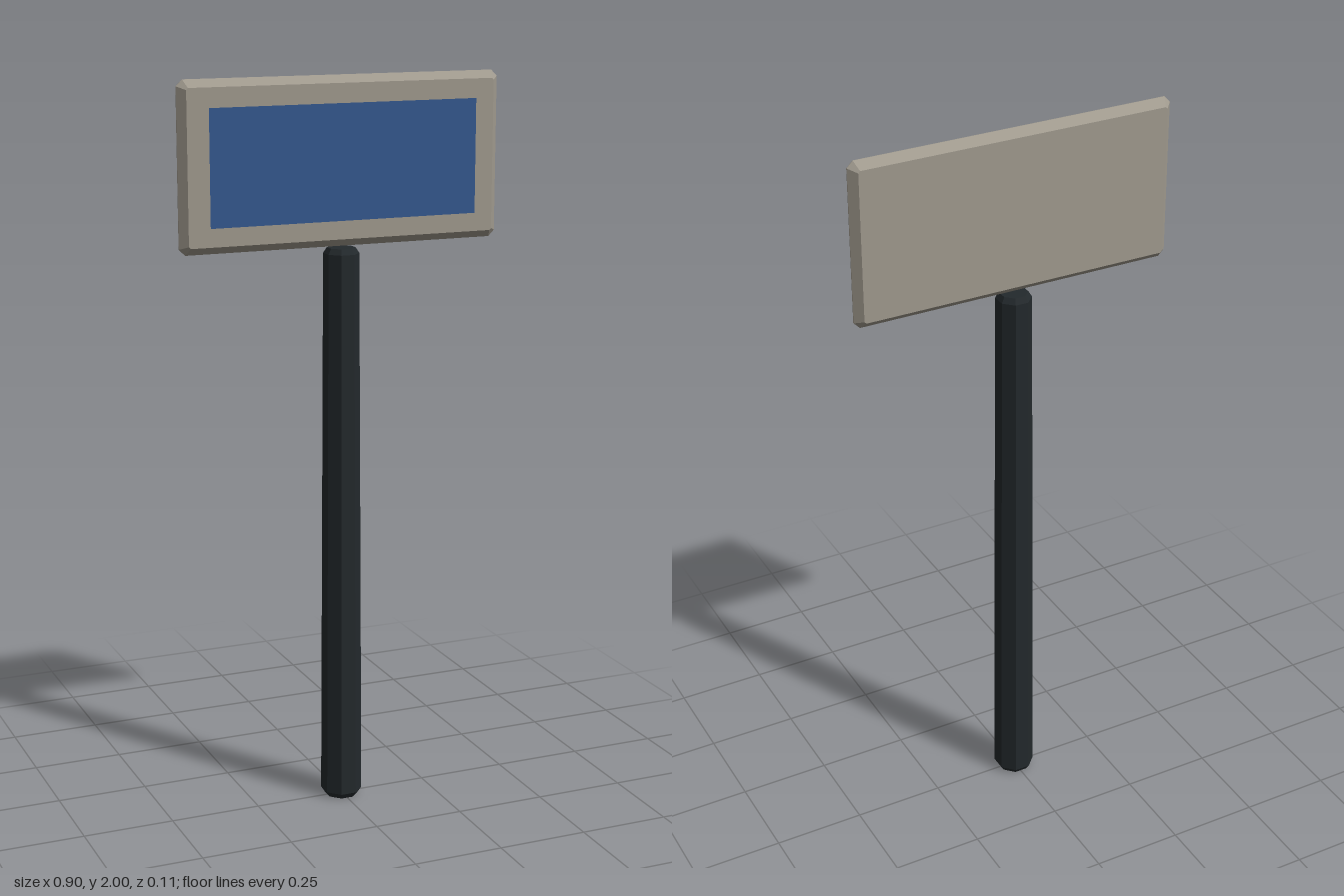
import * as THREE from 'three';

const paint = (color) => new THREE.MeshStandardMaterial({ color, flatShading: true });

// rectangle with small cut corners
function chamferedRect(hx, hy, c) {
  return new THREE.Shape([
    [hx - c, -hy], [hx, -hy + c], [hx, hy - c], [hx - c, hy],
    [-hx + c, hy], [-hx, hy - c], [-hx, -hy + c], [-hx + c, -hy],
  ].map(([x, y]) => new THREE.Vector2(x, y)));
}

export function createModel() {
  const group = new THREE.Group();
  const add = (name, geometry, material) => {
    const mesh = new THREE.Mesh(geometry, material);
    mesh.name = name;
    group.add(mesh);
    return mesh;
  };

  // eight-sided, gently tapered pole with bevelled ends (radii measured to the flats)
  const toCorner = 1 / Math.cos(Math.PI / 8);
  const profile = [[0, 0], [0.042, 0], [0.052, 0.016], [0.044, 1.535], [0.035, 1.55], [0, 1.55]]
    .map(([r, y]) => new THREE.Vector2(r * toCorner, y));
  const poleGeometry = new THREE.LatheGeometry(profile, 8);
  poleGeometry.rotateY(Math.PI / 8);
  poleGeometry.scale(1, 1, 1.04);
  add('pole', poleGeometry, paint(0x23292c));

  // panel with edges bevelled to a ridge all round
  const bevel = 0.02;
  const rim = 0.002;
  const panelGeometry = new THREE.ExtrudeGeometry(chamferedRect(0.43, 0.203, 0.005), {
    depth: rim, bevelEnabled: true, bevelSegments: 1, bevelSize: bevel, bevelThickness: 0.022,
  });
  panelGeometry.translate(0, 1.777, -rim / 2 - 0.001);
  add('panel', panelGeometry, paint(0xa09a8e));

  // thin screen held just in front of the panel, very slightly turned
  const screen = add('screen', new THREE.PlaneGeometry(0.75, 0.305), paint(0x35588f));
  screen.material.side = THREE.DoubleSide;
  screen.position.set(0, 1.777, 0.033);
  screen.rotation.y = 0.005;

  return group;
}
